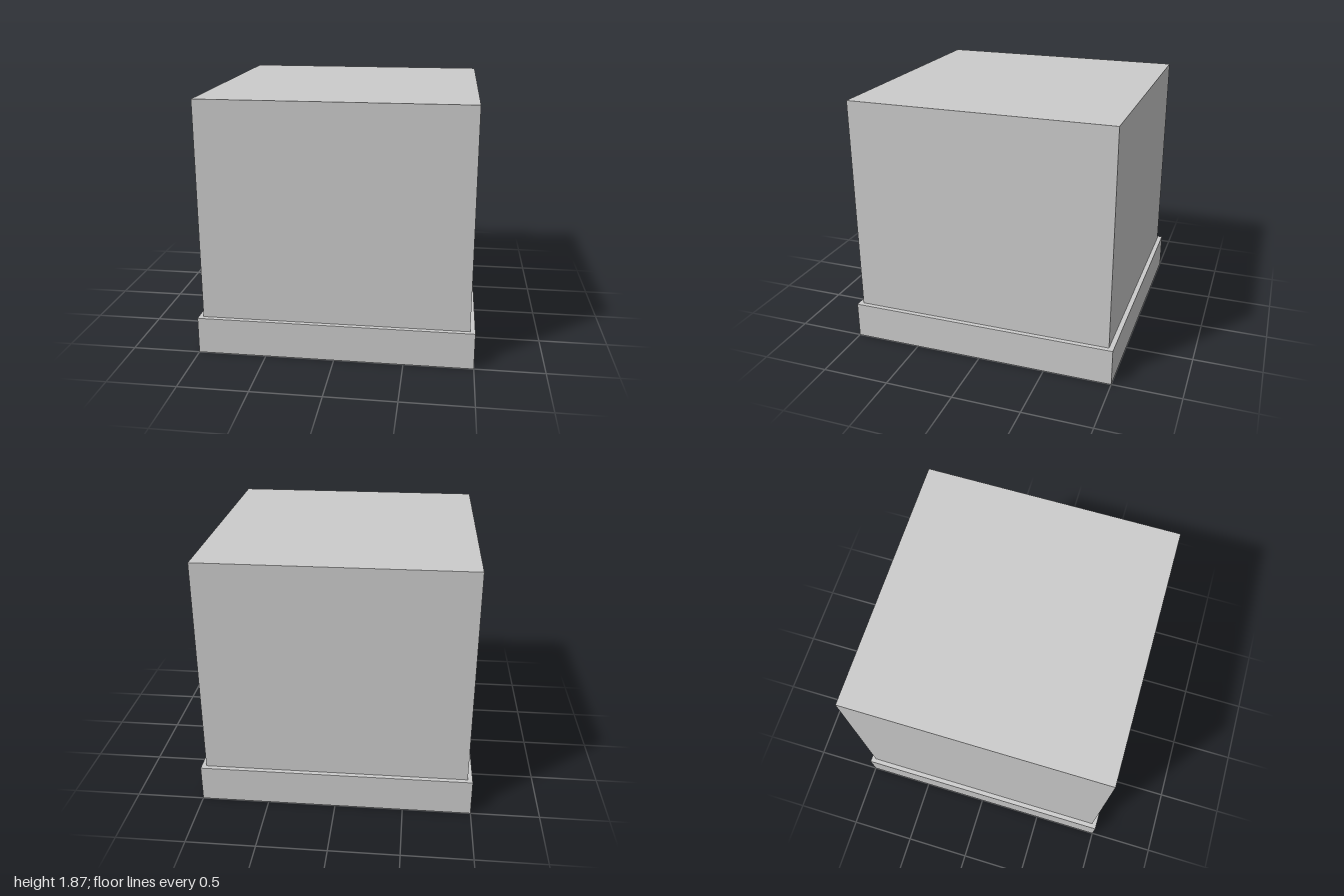
import * as THREE from 'three';

const grey = new THREE.MeshStandardMaterial({ color: 0xcccccc, flatShading: true });
const greyThin = new THREE.MeshStandardMaterial({ color: 0xcccccc, flatShading: true, side: THREE.DoubleSide });

const BODY = 0.965, BASE = 1, HOLE = 0.64;        // half widths
const LEDGE_Y = 0.27, CEILING_Y = 0.82, TOP_Y = 1.87;

// square box between two heights, without a bottom and optionally without a top
function openBox(name, half, y0, y1, hasTop) {
  const geo = new THREE.BoxGeometry(half * 2, y1 - y0, half * 2);
  const index = Array.from(geo.index.array);
  // side order: +x, -x, top, bottom, +z, -z (six indices each)
  geo.setIndex(index.filter((_, i) => {
    const face = Math.floor(i / 6);
    return face !== 3 && (hasTop || face !== 2);
  }));
  geo.clearGroups();
  const mesh = new THREE.Mesh(geo, greyThin);
  mesh.name = name;
  mesh.position.y = (y0 + y1) / 2;
  return mesh;
}

function square(target, h) {
  target.moveTo(-h, -h).lineTo(h, -h).lineTo(h, h).lineTo(-h, h).closePath();
  return target;
}

// square rod hanging from the cavity ceiling, from root to tip
function hangingRod(tipX, tipZ, leanX, leanZ, thickness) {
  const tip = new THREE.Vector3(tipX, 0.46, tipZ);
  const root = new THREE.Vector3(
    THREE.MathUtils.clamp(tipX + leanX, -0.6, 0.6), CEILING_Y,
    THREE.MathUtils.clamp(tipZ + leanZ, -0.6, 0.6));
  const dir = root.clone().sub(tip);
  const rod = new THREE.Mesh(new THREE.BoxGeometry(thickness, dir.length(), thickness), grey);
  rod.name = 'hangingRod';
  rod.position.copy(tip).add(root).multiplyScalar(0.5);
  rod.quaternion.setFromUnitVectors(new THREE.Vector3(0, 1, 0), dir.normalize());
  return rod;
}

export function createModel() {
  const model = new THREE.Group();
  model.name = 'hollowBlock';

  // main block, skirt around its foot and the recess underneath
  model.add(openBox('body', BODY, LEDGE_Y, TOP_Y, true));
  model.add(openBox('baseSkirt', BASE, 0, LEDGE_Y, false));
  model.add(openBox('cavity', HOLE, LEDGE_Y, CEILING_Y, true));

  // flat ledge joining skirt, block and recess
  const ring = square(new THREE.Shape(), BASE);
  ring.holes.push(square(new THREE.Path(), HOLE));
  const ledge = new THREE.Mesh(new THREE.ShapeGeometry(ring), greyThin);
  ledge.name = 'ledge';
  ledge.rotation.x = -Math.PI / 2;
  ledge.position.y = LEDGE_Y;
  model.add(ledge);

  // rods: tip x, tip z, lean x, lean z, thickness
  const rods = new THREE.Group();
  rods.name = 'hangingRods';
  [
    [0.51, -0.28, 0.09, -0.07, 0.045],
    [0.48, -0.15, 0.05, -0.06, 0.045],
    [0.12, -0.35, 0, 0, 0.045],
    [0.12, -0.17, 0.03, -0.04, 0.07],
    [0.48, 0.13, 0, 0, 0.045],
    [0.54, 0.36, 0, 0, 0.04],
    [0.41, 0.31, -0.33, 0, 0.04],
    [0.41, 0.47, -0.18, 0.06, 0.04],
    [-0.22, -0.25, 0.08, -0.09, 0.045],
    [-0.22, -0.04, 0.05, -0.06, 0.05],
    [-0.32, 0.18, 0.08, -0.09, 0.045],
    [-0.2, 0.46, 0.04, -0.05, 0.045],
    [-0.21, 0.57, 0, 0, 0.045],
    [0, 0.1, 0, 0, 0.045],
    [-0.45, -0.42, 0.04, 0.05, 0.045],
    [0.1, -0.52, -0.05, 0, 0.045],
    [-0.5, -0.08, 0, 0.06, 0.045],
  ].forEach((r) => rods.add(hangingRod(...r)));
  model.add(rods);

  return model;
}
